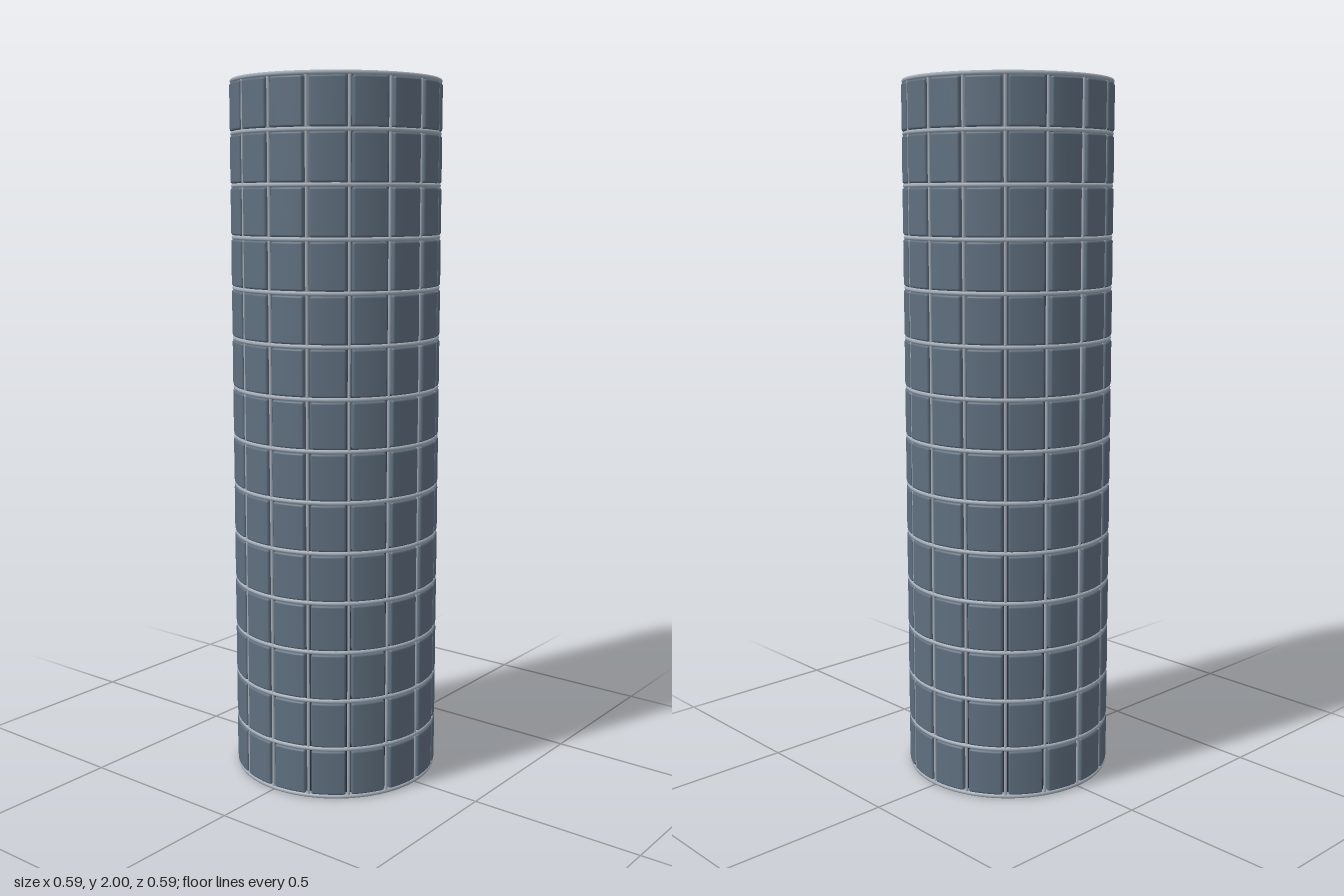
import * as THREE from 'three';
import { mergeGeometries, mergeVertices } from 'three/addons/utils/BufferGeometryUtils.js';

const ROWS = 14, COLS = 16, STEP = (Math.PI * 2) / COLS;
const TUBE = 0.006;                       // wire thickness
const PITCH = (2 - TUBE * 2) / ROWS;      // row height
const CORE_R = 0.264, WIRE_R = 0.29, TILE_MID = 0.2825;

// Uneven grid spacing: two narrow steps at each rounded edge, even steps between
function spread(u, n, half, r) {
  const i = Math.round((u + 0.5) * n);
  if (i < 2) return -half + i * r * 0.4;
  if (i > n - 2) return half - (n - i) * r * 0.4;
  return (half - r) * (-1 + (2 * (i - 2)) / (n - 4));
}

// Rounded tile bent around the y axis, centred on +z
function tileGeometry() {
  const segs = [8, 5, 5], half = [0.0475, 0.065, 0.0145], r = 0.006;
  const g = new THREE.BoxGeometry(1, 1, 1, ...segs);
  const pos = g.attributes.position, nor = g.attributes.normal;
  const axis = new THREE.Vector3(0, 1, 0);
  const inner = new THREE.Vector3(half[0] - r, half[1] - r, half[2] - r);
  const low = inner.clone().negate();
  for (let i = 0; i < pos.count; i++) {
    const p = new THREE.Vector3(
      spread(pos.getX(i), segs[0], half[0], r),
      spread(pos.getY(i), segs[1], half[1], r),
      spread(pos.getZ(i), segs[2], half[2], r));
    const c = p.clone().clamp(low, inner);
    const n = p.sub(c).normalize();
    const q = c.addScaledVector(n, r);
    const a = q.x / TILE_MID, rad = TILE_MID + q.z;
    pos.setXYZ(i, Math.sin(a) * rad, q.y, Math.cos(a) * rad);
    n.applyAxisAngle(axis, a);
    nor.setXYZ(i, n.x, n.y, n.z);
  }
  return g;
}

// Solid core whose normals blend softly over the rims
function coreGeometry() {
  const g0 = new THREE.CylinderGeometry(CORE_R, CORE_R, 2 - TUBE * 2, 64);
  g0.deleteAttribute('normal');
  g0.deleteAttribute('uv');
  const g = mergeVertices(g0);
  g.computeVertexNormals();
  const pos = g.attributes.position, nor = g.attributes.normal;
  for (let i = 0; i < pos.count; i++) {
    const x = pos.getX(i) / CORE_R, z = pos.getZ(i) / CORE_R, s = Math.sign(pos.getY(i));
    if (Math.hypot(x, z) > 0.5) nor.setXYZ(i, x * 0.83, s * 0.55, z * 0.83);
    else nor.setXYZ(i, 0, s, 0);
  }
  return g;
}

export function createModel() {
  const model = new THREE.Group();
  model.name = 'tiledColumn';
  const slate = new THREE.MeshStandardMaterial({ name: 'slate tile', color: 0x5f6f7f });
  const metal = new THREE.MeshStandardMaterial({ name: 'pale metal', color: 0xa3adb8 });
  const dark = new THREE.MeshStandardMaterial({ name: 'dark core', color: 0x3a4152 });

  const add = (name, geometry, material, y) => {
    const m = new THREE.Mesh(geometry, material);
    m.name = name;
    m.position.y = y;
    model.add(m);
    return m;
  };

  add('core', coreGeometry(), dark, 1);

  // Rows of tiles
  const tile = tileGeometry();
  const row = mergeGeometries(Array.from({ length: COLS }, (_, k) =>
    tile.clone().rotateY((k + 0.5) * STEP)));
  for (let j = 0; j < ROWS; j++) add('tileRow', row, slate, TUBE + (j + 0.5) * PITCH);

  // Hoops between the rows and at both ends
  const hoop = new THREE.TorusGeometry(WIRE_R, TUBE, 8, 80).rotateX(Math.PI / 2);
  for (let j = 0; j <= ROWS; j++) add('hoop', hoop, metal, TUBE + j * PITCH);

  // Upright rods between the columns
  const rod = new THREE.CylinderGeometry(0.004, 0.004, 2 - TUBE * 2, 8);
  for (let k = 0; k < COLS; k++) {
    const m = add('uprightRod', rod, metal, 1);
    m.position.x = Math.sin(k * STEP) * WIRE_R;
    m.position.z = Math.cos(k * STEP) * WIRE_R;
  }
  return model;
}
